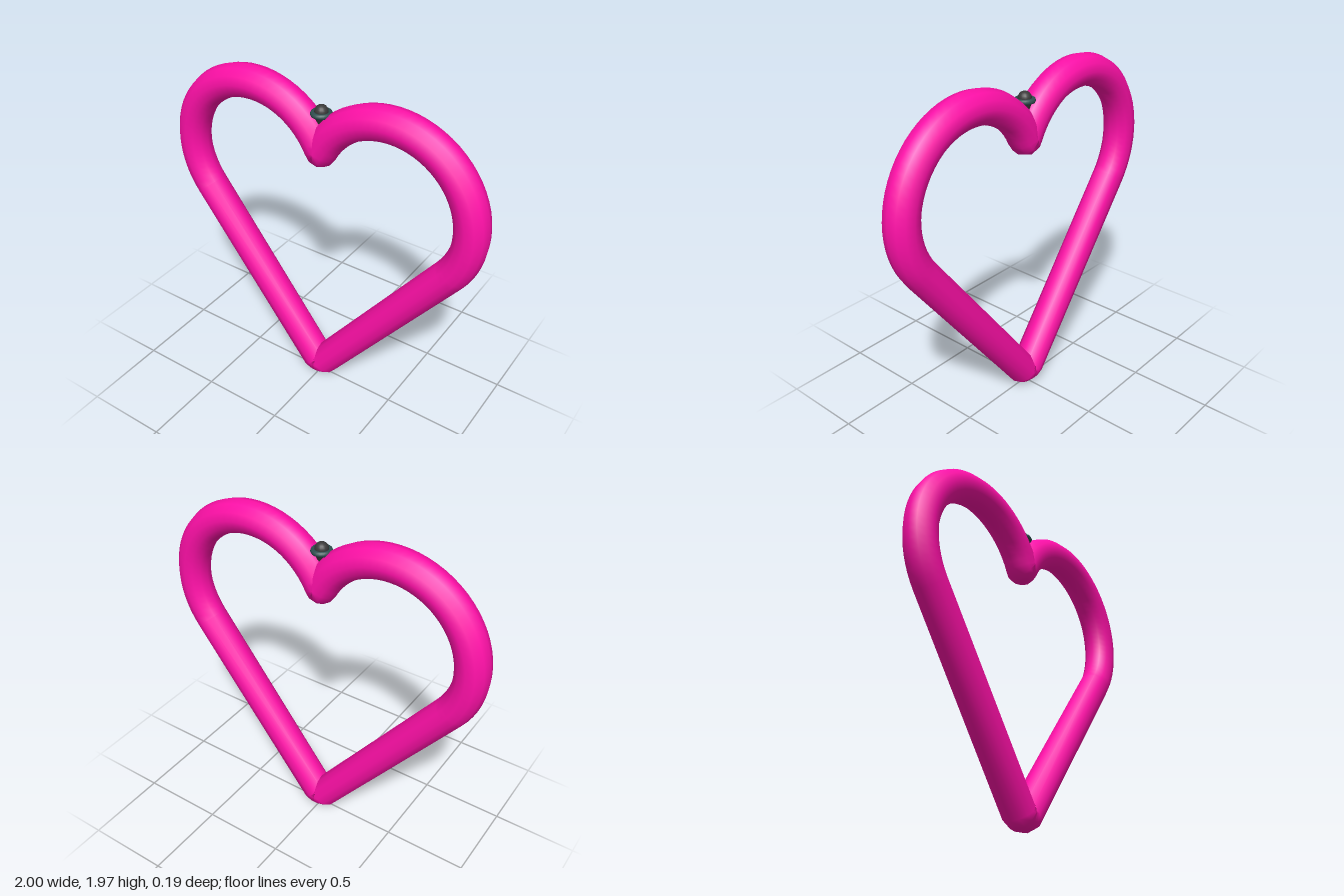
import * as THREE from 'three';

const R = 0.095;          // tube radius
const SIDES = 12;         // sides of the tube
const LOBE = { x: 0.43, y: 1.41, r: 0.475 };

// Stations [x, y, outward angle] of the right half, from bottom tip to cleft
function halfPath() {
  const a0 = Math.atan2(-0.607, 0.795);
  const a1 = Math.PI - Math.atan2(0.21, 0.42);
  const path = [[0, 0.1, -Math.PI / 2], [0.006, 0.097, -1.12], [0.027, 0.1, a0]];
  const steps = 36;
  for (let i = 0; i <= steps; i++) {
    const a = a0 + (a1 - a0) * i / steps;
    path.push([LOBE.x + LOBE.r * Math.cos(a), LOBE.y + LOBE.r * Math.sin(a), a]);
  }
  path.push([0.003, 1.612, (a1 + Math.PI / 2) / 2], [0, 1.61, Math.PI / 2]);
  return path;
}

// Closed tube swept round the heart outline
function heartGeometry() {
  const right = halfPath();
  const left = right.slice(1, -1).reverse().map(([x, y, a]) => [-x, y, Math.PI - a]);
  const path = [...right, ...left];
  const positions = [], index = [];
  path.forEach(([x, y, a], i) => {
    const next = (i + 1) % path.length;
    for (let j = 0; j < SIDES; j++) {
      const p = j / SIDES * Math.PI * 2, k = (j + 1) % SIDES;
      const out = R * Math.cos(p);
      positions.push(x + out * Math.cos(a), y + out * Math.sin(a), R * Math.sin(p));
      const A = i * SIDES + j, B = next * SIDES + j;
      const C = next * SIDES + k, D = i * SIDES + k;
      index.push(A, B, C, A, C, D);
    }
  });
  const geometry = new THREE.BufferGeometry();
  geometry.setAttribute('position', new THREE.Float32BufferAttribute(positions, 3));
  geometry.setIndex(index);
  geometry.computeVertexNormals();
  return geometry;
}

export function createModel() {
  const model = new THREE.Group();
  model.name = 'heartFrame';
  const add = (parent, name, geometry, color, y = 0) => {
    const mesh = new THREE.Mesh(geometry, new THREE.MeshStandardMaterial({ color }));
    mesh.name = name;
    mesh.position.y = y;
    parent.add(mesh);
  };

  // Heart-shaped tube
  add(model, 'heartTube', heartGeometry(), 0xff10a8);

  // Small fitting seated in the cleft
  const fitting = new THREE.Group();
  fitting.name = 'cleftFitting';
  model.add(fitting);
  add(fitting, 'stem', new THREE.CylinderGeometry(0.04, 0.012, 0.1, 16), 0x333333, 1.77);
  const collar = new THREE.TorusGeometry(0.045, 0.015, 8, 24).rotateX(Math.PI / 2);
  add(fitting, 'collar', collar, 0x2f4f4f, 1.825);
  add(fitting, 'knob', new THREE.SphereGeometry(0.038, 16, 12), 0x3a3a3a, 1.837);
  return model;
}
